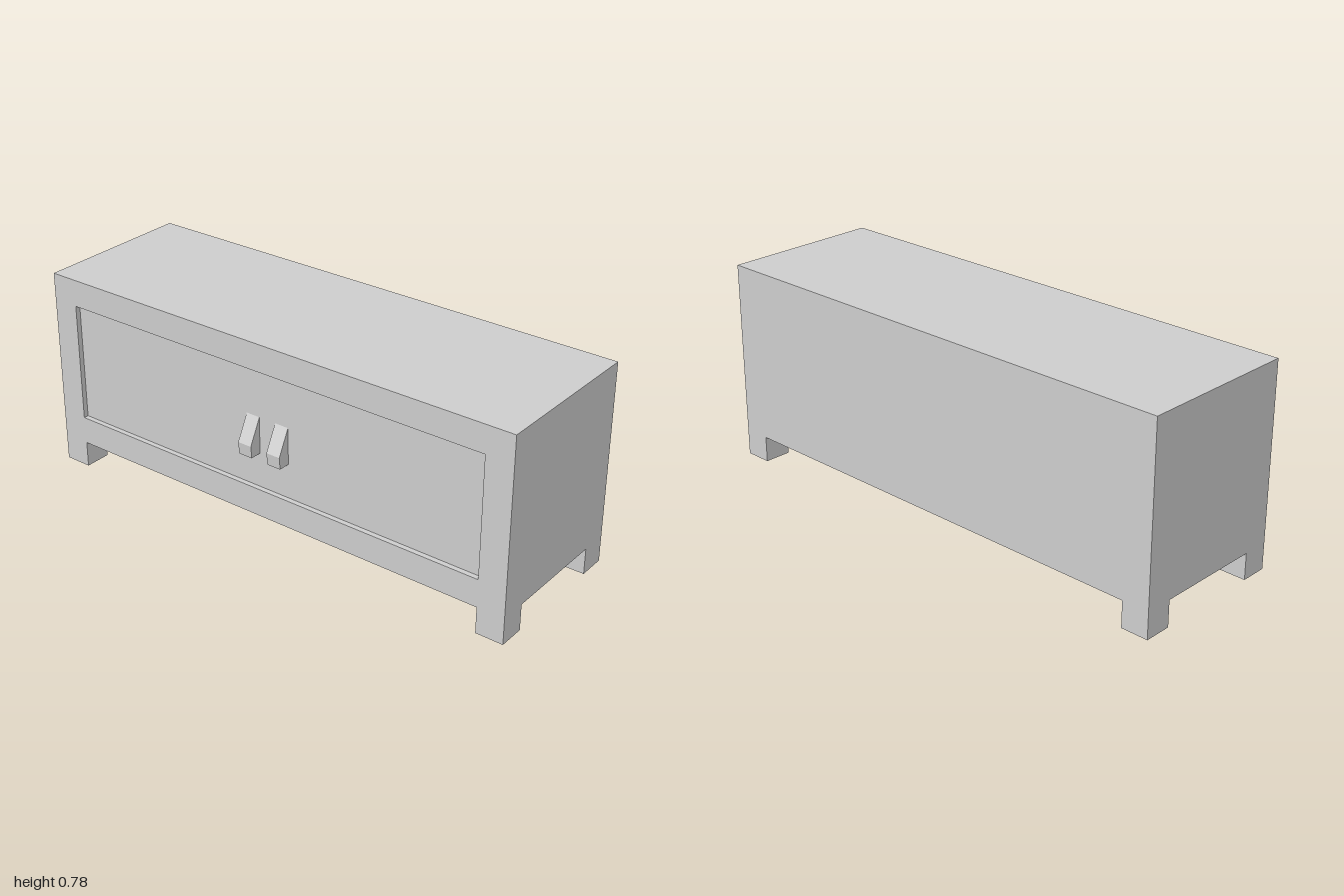
import * as THREE from 'three';

const grey = new THREE.MeshStandardMaterial({ color: 0xcccccc });
grey.name = 'plain grey';

function add(parent, name, geometry) {
  const mesh = new THREE.Mesh(geometry, grey);
  mesh.name = name;
  parent.add(mesh);
  return mesh;
}

// Box given by its lower and upper corners
function box(parent, name, [x0, y0, z0], [x1, y1, z1]) {
  const mesh = add(parent, name, new THREE.BoxGeometry(x1 - x0, y1 - y0, z1 - z0));
  mesh.position.set((x0 + x1) / 2, (y0 + y1) / 2, (z0 + z1) / 2);
}

function polygon(Type, points) {
  return new Type(points.map(([x, y]) => new THREE.Vector2(x, y)));
}

export function createModel() {
  const cabinet = new THREE.Group();
  cabinet.name = 'cabinet';
  const back = -0.328, panelZ = 0.281, front = 0.301, bottom = 0.102, top = 0.78;

  // Carcass; its front face is the recessed door panel
  box(cabinet, 'carcass', [-0.997, bottom, back], [0.997, top, panelZ]);

  // Raised frame around the doors
  const outline = polygon(THREE.Shape, [[-0.997, bottom], [0.997, bottom], [0.997, top], [-0.997, top]]);
  outline.holes.push(polygon(THREE.Path, [[-0.893, 0.21], [-0.893, 0.675], [0.89, 0.675], [0.89, 0.21]]));
  const frame = add(cabinet, 'frontFrame',
    new THREE.ExtrudeGeometry(outline, { depth: front - panelZ, bevelEnabled: false }));
  frame.position.z = panelZ;

  // Short square feet at the corners
  for (const side of [-1, 1]) {
    const x0 = side < 0 ? -0.997 : 0.89, x1 = side < 0 ? -0.89 : 0.997;
    box(cabinet, 'frontFoot', [x0, 0, 0.197], [x1, bottom, front]);
    box(cabinet, 'backFoot', [x0, 0, back], [x1, bottom, -0.221]);
  }

  // Wedge handles: side profile (z, y) extruded across the width
  const profile = polygon(THREE.Shape, [[panelZ, 0.345], [0.326, 0.345], [0.33, 0.392], [panelZ, 0.488]]);
  for (const x of [-0.065, 0.062]) {
    const handle = add(cabinet, 'doorHandle',
      new THREE.ExtrudeGeometry(profile, { depth: 0.057, bevelEnabled: false }));
    handle.rotation.y = -Math.PI / 2;
    handle.position.x = x + 0.0285;
  }

  return cabinet;
}
